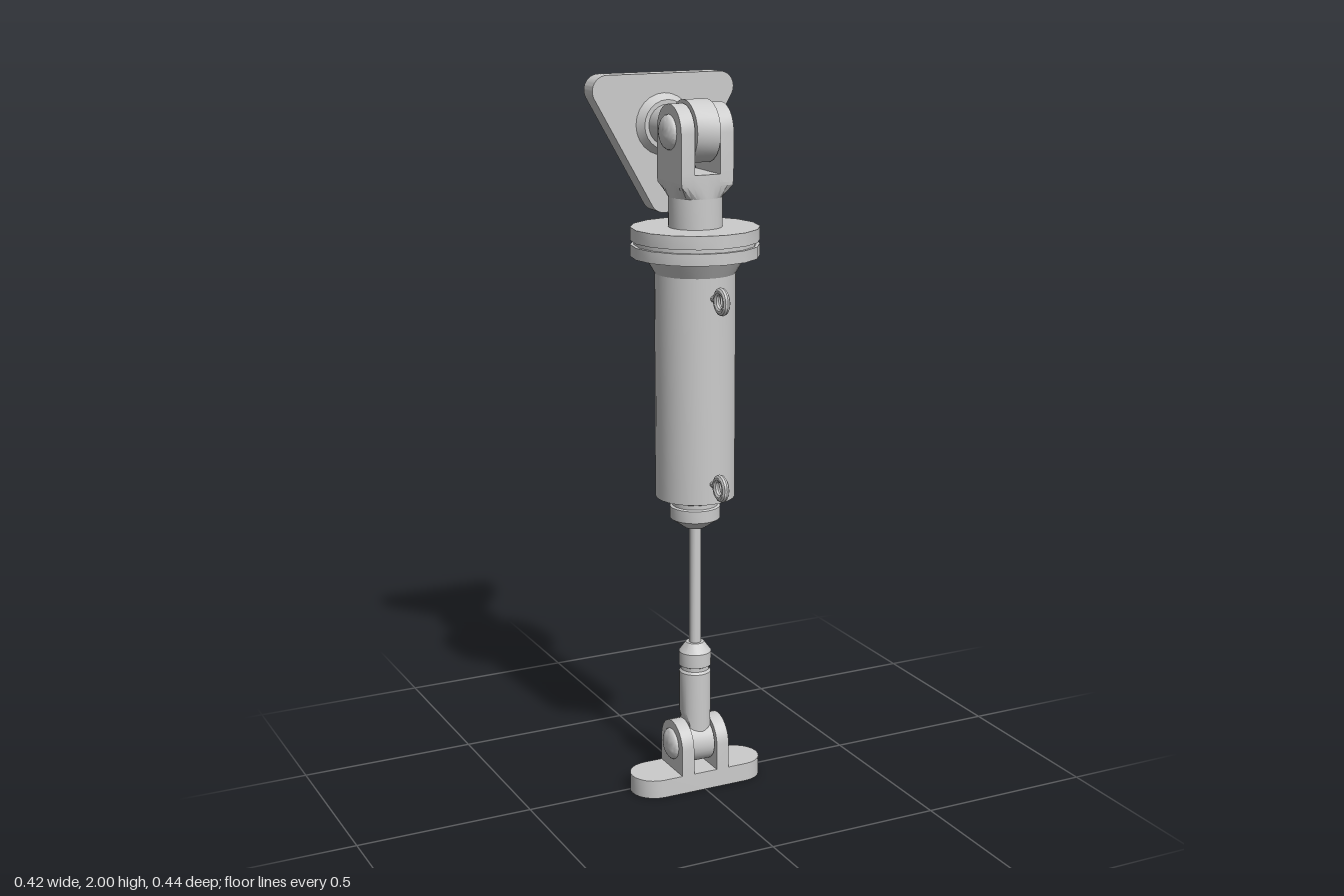
import * as THREE from 'three';
import { toCreasedNormals } from 'three/addons/utils/BufferGeometryUtils.js';

const AXIS_Z = 0.027; // centre line of the damper column
const TOP_PIVOT = 1.863, LOW_PIVOT = 0.128;
const grey = new THREE.MeshStandardMaterial({ color: 0xcccccc });

function add(parent, name, geometry, x = 0, y = 0, z = 0) {
  const mesh = new THREE.Mesh(toCreasedNormals(geometry, 0.5), grey);
  mesh.name = name;
  mesh.position.set(x, y, z);
  parent.add(mesh);
  return mesh;
}

const turned = (points, sides = 24) =>
  new THREE.LatheGeometry(points.map(([r, y]) => new THREE.Vector2(r, y)), sides);

// Moves every vertex by a rule
function reshape(geometry, rule) {
  const p = geometry.attributes.position, v = new THREE.Vector3();
  for (let i = 0; i < p.count; i++) {
    v.fromBufferAttribute(p, i);
    rule(v);
    p.setXYZ(i, v.x, v.y, v.z);
  }
  return geometry;
}

const extrude = (shape, depth, curveSegments = 8) =>
  new THREE.ExtrudeGeometry(shape, { depth, bevelEnabled: false, curveSegments });

// Fork cheek: square foot, round head about the pivot, thickness along x
function cheek(radius, drop, thickness) {
  const s = new THREE.Shape();
  s.moveTo(-radius, -drop);
  s.lineTo(radius, -drop);
  s.lineTo(radius, 0);
  s.absarc(0, 0, radius, 0, Math.PI, false);
  s.closePath();
  return extrude(s, thickness).translate(0, 0, -thickness / 2).rotateY(Math.PI / 2);
}

// Two mirrored cheeks with domed pin heads
function fork(parent, name, y, { radius, drop, inner, outer, domeRadius, domeHeight }) {
  const group = new THREE.Group();
  group.name = name;
  group.position.y = y;
  parent.add(group);
  for (const side of [-1, 1]) {
    add(group, 'forkCheek', cheek(radius, drop, outer - inner), side * (inner + outer) / 2);
    const dome = new THREE.SphereGeometry(domeRadius, 20, 6, 0, Math.PI * 2, 0, Math.PI / 2);
    dome.scale(1, domeHeight / domeRadius, 1).rotateZ(-side * Math.PI / 2);
    add(group, 'pinHead', dome, side * outer);
  }
  return group;
}

const lug = (radius, width) =>
  new THREE.CylinderGeometry(radius, radius, width, 24).rotateZ(Math.PI / 2);

// Flat shape hugging a list of equal circles, listed counter-clockwise
function roundedOutline(centres, radius) {
  const s = new THREE.Shape(), n = centres.length;
  const angle = (a, b) => Math.atan2(b[1] - a[1], b[0] - a[0]) - Math.PI / 2;
  centres.forEach((c, i) => {
    const from = angle(centres[(i + n - 1) % n], c);
    const to = angle(c, centres[(i + 1) % n]);
    s.absarc(c[0], c[1], radius, from, to, false);
  });
  s.closePath();
  return s;
}

export function createModel() {
  const model = new THREE.Group();
  model.name = 'damperStrut';
  const column = new THREE.Group();
  column.name = 'column';
  column.position.z = AXIS_Z;
  model.add(column);

  // Base plate with rounded ends
  const foot = roundedOutline([[-0.129, 0], [0.129, 0]], 0.069);
  add(column, 'basePlate', extrude(foot, 0.053, 6).rotateX(-Math.PI / 2));

  // Lower fork and the rod end held in it
  fork(column, 'lowerFork', LOW_PIVOT, {
    radius: 0.069, drop: 0.08, inner: 0.036, outer: 0.073, domeRadius: 0.045, domeHeight: 0.02,
  });
  add(column, 'lowerLug', lug(0.06, 0.066), 0, LOW_PIVOT);
  const rodEnd = turned([
    [0, 0.128], [0.045, 0.128], [0.045, 0.19], [0.045, 0.222], [0.045, 0.34], [0.04, 0.347],
    [0.04, 0.357], [0.046, 0.36], [0.046, 0.4], [0.026, 0.427], [0, 0.427],
  ]);
  // Flats on both sides of the rod end, where it enters the fork
  reshape(rodEnd, v => { if (v.y < 0.2) v.x = THREE.MathUtils.clamp(v.x, -0.033, 0.033); });
  add(column, 'rodEnd', rodEnd);
  add(column, 'pistonRod', new THREE.CylinderGeometry(0.017, 0.017, 0.38, 16), 0, 0.6);

  // Cylinder body with lower gland and flared top
  add(column, 'gland', turned([
    [0, 0.768], [0.03, 0.768], [0.07, 0.796], [0.07, 0.83], [0.063, 0.833],
    [0.063, 0.845], [0.07, 0.848], [0.07, 0.87],
  ]));
  add(column, 'cylinderBody', turned([
    [0, 0.86], [0.11, 0.86], [0.11, 1.485], [0.138, 1.532], [0, 1.532],
  ], 32));

  // Pair of flanges with a narrow groove between
  add(column, 'flange', turned([
    [0, 1.53], [0.175, 1.53], [0.175, 1.562], [0.166, 1.562], [0.166, 1.573],
    [0.175, 1.573], [0.175, 1.609], [0, 1.609],
  ], 16));

  // Neck, spreading into the square foot of the upper fork
  add(column, 'neck', turned([[0.073, 1.6], [0.073, 1.72]]));
  const spread = turned([
    [0, 1.69], [0.073, 1.69], [0.107, 1.725], [0.107, 1.755], [0, 1.755],
  ], 32);
  reshape(spread, v => {
    v.x = THREE.MathUtils.clamp(v.x, -0.076, 0.076);
    v.z = THREE.MathUtils.clamp(v.z, -0.074, 0.074);
  });
  add(column, 'forkFoot', spread);
  fork(column, 'upperFork', TOP_PIVOT, {
    radius: 0.074, drop: 0.13, inner: 0.037, outer: 0.077, domeRadius: 0.047, domeHeight: 0.023,
  });

  // Upper lug with its shank, narrowed between the cheeks
  add(column, 'upperLug', lug(0.084, 0.068), 0, TOP_PIVOT);
  const shank = turned([
    [0.056, 0], [0.056, 0.062], [0.056, 0.097], [0.056, 0.17], [0.068, 0.17], [0.087, 0.194],
  ]);
  reshape(shank, v => { if (v.y < 0.08) v.x = THREE.MathUtils.clamp(v.x, -0.034, 0.034); });
  add(column, 'mountShank', shank.rotateX(-Math.PI / 2), 0, TOP_PIVOT);

  // Triangular mounting plate
  const triangle = roundedOutline([[-0.17, 1.958], [0, 1.662], [0.17, 1.958]], 0.042);
  add(model, 'mountPlate', extrude(triangle, 0.058), 0, 0, -0.222);

  // Hose rings on the front of the body
  for (const y of [0.918, 1.43]) {
    const ring = new THREE.TorusGeometry(0.0275, 0.0105, 10, 24).rotateY(Math.PI / 2);
    add(model, 'ring', ring, 0, y, 0.184);
    const stem = new THREE.CylinderGeometry(0.009, 0.009, 0.028, 10).rotateX(Math.PI / 2);
    add(model, 'ringStem', stem, 0, y, 0.141);
  }
  return model;
}
